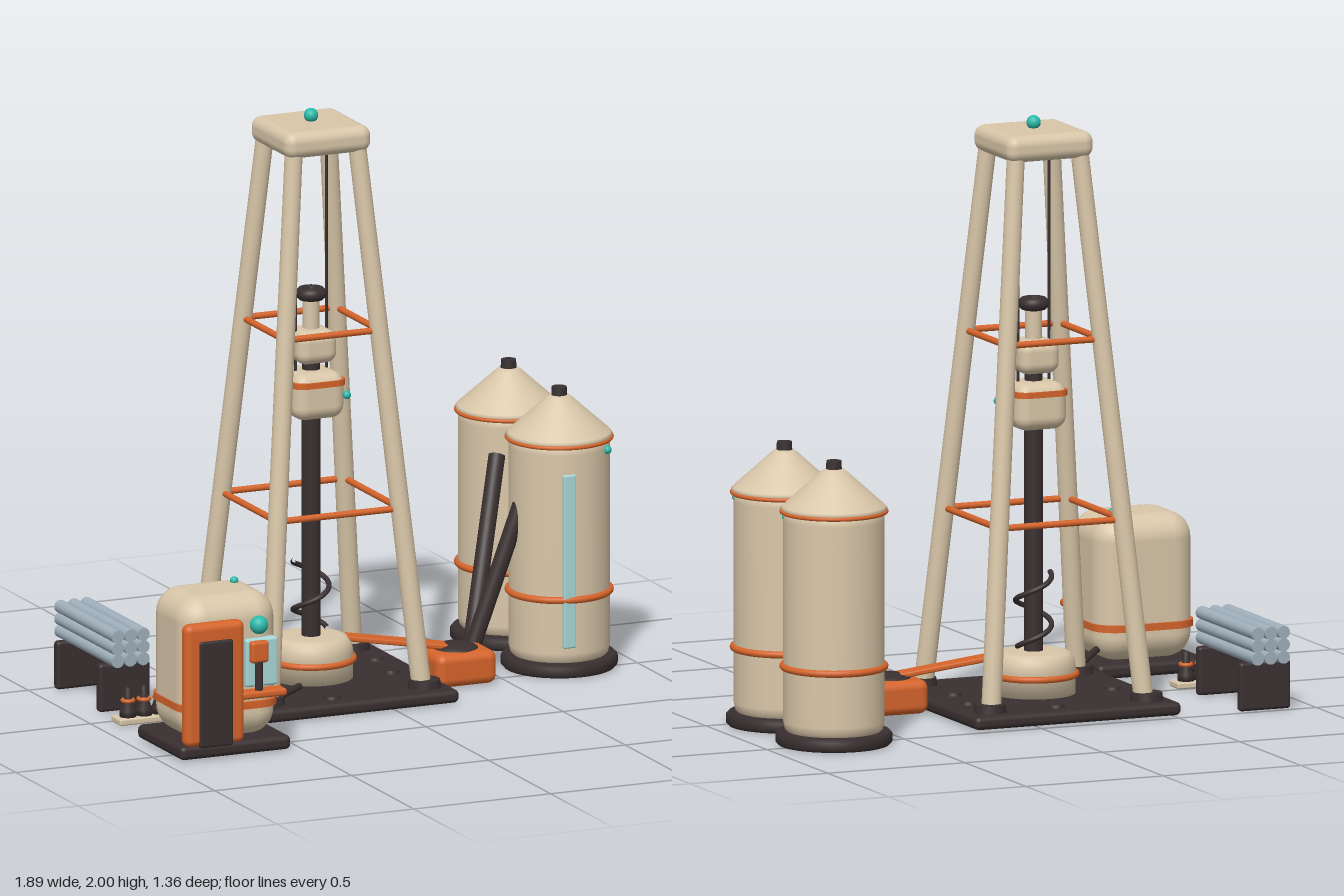
import * as THREE from 'three';
import { RoundedBoxGeometry } from 'three/addons/geometries/RoundedBoxGeometry.js';

const mat = (name, color) => Object.assign(new THREE.MeshStandardMaterial({ color }), { name });
const V = (x, y, z) => new THREE.Vector3(x, y, z);

export function createModel() {
  const cream = mat('cream', 0xd8c6a8);
  const orange = mat('orange', 0xd5642b);
  const dark = mat('dark', 0x392f30);
  const teal = mat('teal', 0x2bbaab);
  const glass = mat('glass', 0xa8d6d6);
  const steel = mat('steel', 0x9fafbb);

  const root = new THREE.Group();
  root.name = 'drillingRig';
  let parent = root;
  const group = (name, x = 0, z = 0) => {
    parent = new THREE.Group();
    parent.name = name;
    parent.position.set(x, 0, z);
    root.add(parent);
  };
  const add = (name, geo, m, x = 0, y = 0, z = 0) => {
    const mesh = new THREE.Mesh(geo, m);
    mesh.name = name;
    mesh.position.set(x, y, z);
    parent.add(mesh);
    return mesh;
  };
  const box = (name, m, w, h, d, x, y, z, r = 0.01) =>
    add(name, new RoundedBoxGeometry(w, h, d, 4, r), m, x, y, z);
  const ball = (name, m, r, x, y, z) => add(name, new THREE.SphereGeometry(r, 24, 16), m, x, y, z);
  const cyl = (name, m, r, h, x, y, z, r2 = r) =>
    add(name, new THREE.CylinderGeometry(r2, r, h, 32), m, x, y, z);
  const ring = (name, m, r, tube, x, y, z) => {
    const mesh = add(name, new THREE.TorusGeometry(r, tube, 12, 48), m, x, y, z);
    mesh.rotation.x = Math.PI / 2;
    return mesh;
  };
  // Straight round bar between two points
  const bar = (name, m, a, b, r, r2 = r) => {
    const dir = b.clone().sub(a);
    const mesh = cyl(name, m, r, dir.length(), 0, 0, 0, r2);
    mesh.position.copy(a).add(b).multiplyScalar(0.5);
    mesh.quaternion.setFromUnitVectors(V(0, 1, 0), dir.normalize());
    return mesh;
  };
  const tube = (name, m, pts, r, n = 64) =>
    add(name, new THREE.TubeGeometry(new THREE.CatmullRomCurve3(pts), n, r, 10), m);
  // Horizontal band with rounded corners
  const band = (name, m, w, d, h, r, x, y, z) => {
    const s = new THREE.Shape();
    const a = w / 2 - r, b = d / 2 - r;
    s.absarc(a, b, r, 0, Math.PI / 2);
    s.absarc(-a, b, r, Math.PI / 2, Math.PI);
    s.absarc(-a, -b, r, Math.PI, Math.PI * 1.5);
    s.absarc(a, -b, r, Math.PI * 1.5, Math.PI * 2);
    const geo = new THREE.ExtrudeGeometry(s, { depth: h, bevelEnabled: false, curveSegments: 8 });
    geo.rotateX(-Math.PI / 2).translate(0, -h / 2, 0);
    return add(name, geo, m, x, y, z);
  };

  // Derrick tower
  group('derrick', -0.145, -0.107);
  box('platform', dark, 0.75, 0.045, 0.75, 0, 0.0275, 0, 0.018);
  const corners = [[1, 1], [-1, 1], [-1, -1], [1, -1]];
  const spread = y => 0.282 - 0.088 * y;
  for (const [sx, sz] of corners) {
    const at = y => V(sx * spread(y), y, sz * spread(y));
    bar('leg', cream, at(0.05), at(1.89), 0.033, 0.03);
    cyl('foot', dark, 0.056, 0.03, sx * 0.285, 0.062, sz * 0.285, 0.052);
  }
  for (const y of [0.655, 1.26]) {
    corners.forEach(([ax, az], i) => {
      const [bx, bz] = corners[(i + 1) % 4], s = spread(y);
      bar('brace', orange, V(ax * s, y, az * s), V(bx * s, y, bz * s), 0.011);
    });
  }
  box('crownBlock', cream, 0.315, 0.09, 0.315, 0, 1.913, 0, 0.036);
  ball('crownBeacon', teal, 0.024, 0, 1.976, 0);
  for (const [x, z] of [[0.045, -0.288], [-0.265, -0.05], [0.265, 0.06], [-0.06, 0.3], [0.29, -0.12]])
    cyl('platformBolt', dark, 0.03, 0.012, x, 0.054, z, 0.026);

  // Hoist and drill string
  for (const s of [-1, 1]) bar('cable', dark, V(s * 0.056, 1.1, 0), V(s * 0.056, 1.88, 0), 0.005);
  ring('swivel', dark, 0.029, 0.023, 0, 1.365, 0);
  cyl('hoistNeck', cream, 0.028, 0.13, 0, 1.29, 0);
  box('travellingBlock', cream, 0.145, 0.115, 0.145, 0, 1.19, 0, 0.038);
  cyl('coupling', dark, 0.03, 0.06, 0, 1.115, 0);
  box('topDrive', cream, 0.185, 0.16, 0.185, 0, 1.026, 0, 0.045);
  band('topDriveBand', orange, 0.19, 0.19, 0.02, 0.04, 0, 1.07, 0);
  ball('topDriveLamp', teal, 0.014, 0.09, 1.027, 0.09);
  cyl('drillPipe', dark, 0.032, 0.8, 0, 0.56, 0);
  const coil = [];
  for (let i = 0; i <= 30; i++) {
    const a = (i / 30) * Math.PI * 3;
    coil.push(V(0.06 * Math.cos(a), 0.21 + 0.245 * (i / 30), -0.06 * Math.sin(a)));
  }
  tube('spiralHose', dark, coil, 0.009, 90);
  add('wellhead', new THREE.LatheGeometry([
    [0, 0.045], [0.14, 0.045], [0.141, 0.14], [0.135, 0.17], [0.12, 0.188], [0.1, 0.193], [0, 0.193],
  ].map(p => new THREE.Vector2(...p)), 40), cream);
  ring('wellheadRing', orange, 0.142, 0.011, 0, 0.115, 0);

  // Mud chute, hopper and feed pipes
  group('mudSystem');
  const a = V(-0.03, 0.18, -0.08), b = V(0.31, 0.128, -0.022);
  const chute = box('chute', orange, 0.068, 0.018, a.distanceTo(b), 0, 0, 0, 0.006);
  chute.position.copy(a).add(b).multiplyScalar(0.5);
  chute.lookAt(b);
  box('hopper', orange, 0.22, 0.115, 0.2, 0.345, 0.063, -0.018, 0.03);
  ball('hopperMud', dark, 0.08, 0.342, 0.11, -0.015).scale.y = 0.38;
  bar('feedPipe', dark, V(0.42, 0.08, -0.07), V(0.645, 0.67, -0.35), 0.028);
  bar('feedPipe', dark, V(0.42, 0.08, -0.07), V(0.63, 0.63, -0.075), 0.028);

  // Storage tanks
  const tankProfile = [[0, 0.04], [0.15, 0.04], [0.164, 0.055], [0.169, 0.08], [0.169, 0.76], [0.165, 0.785], [0.15, 0.795], [0, 0.795]];
  const roofProfile = [[0, 0.788], [0.172, 0.788], [0.178, 0.798], [0.172, 0.806], [0.045, 0.92], [0.032, 0.93], [0, 0.93]];
  for (const z of [-0.487, -0.08]) {
    group('tank', 0.75, z);
    add('tankBase', new THREE.LatheGeometry([[0, 0.002], [0.186, 0.002], [0.195, 0.012], [0.195, 0.036], [0.186, 0.047], [0, 0.047]]
      .map(p => new THREE.Vector2(...p)), 48), dark);
    add('tankBody', new THREE.LatheGeometry(tankProfile.map(p => new THREE.Vector2(...p)), 48), cream);
    add('tankRoof', new THREE.LatheGeometry(roofProfile.map(p => new THREE.Vector2(...p)), 48), cream);
    cyl('tankVent', dark, 0.027, 0.04, 0, 0.938, 0, 0.025);
    ring('tankRing', orange, 0.17, 0.012, 0, 0.265, 0);
    ring('roofRing', orange, 0.175, 0.007, 0, 0.788, 0);
    box('levelGauge', glass, 0.046, 0.595, 0.02, -0.037, 0.398, 0.162, 0.006);
    ball('tankLamp', teal, 0.014, 0.118, 0.757, 0.128);
  }

  // Control cabin
  group('controlCabin');
  box('cabinBase', dark, 0.405, 0.048, 0.36, -0.743, 0.029, 0.43, 0.018);
  box('cabinBody', cream, 0.352, 0.49, 0.3, -0.741, 0.295, 0.43, 0.085);
  band('cabinBand', orange, 0.362, 0.325, 0.024, 0.085, -0.741, 0.167, 0.432);
  box('cabinPanel', orange, 0.218, 0.42, 0.055, -0.828, 0.262, 0.605, 0.024);
  box('cabinDoor', dark, 0.122, 0.365, 0.02, -0.828, 0.232, 0.63, 0.009);
  box('cabinWindow', glass, 0.118, 0.165, 0.04, -0.643, 0.312, 0.578, 0.01);
  box('controlBox', orange, 0.066, 0.075, 0.03, -0.659, 0.352, 0.605, 0.012);
  cyl('controlStem', dark, 0.014, 0.1, -0.659, 0.27, 0.605);
  box('controlShelf', orange, 0.165, 0.026, 0.06, -0.645, 0.208, 0.595, 0.01);
  ball('cabinBeacon', teal, 0.031, -0.677, 0.455, 0.645);
  ball('roofLamp', teal, 0.014, -0.65, 0.545, 0.386);
  tube('cabinHose', dark, [V(-0.62, 0.1, 0.39), V(-0.54, 0.085, 0.31), V(-0.42, 0.06, 0.18), V(-0.25, 0.058, 0.03)], 0.012);

  // Pipe rack
  group('pipeRack', -0.822, 0);
  for (const z of [-0.47, -0.13]) box('rackSupport', dark, 0.186, 0.165, 0.034, 0, 0.085, z, 0.012);
  for (let row = 0; row < 3; row++)
    for (const x of [-0.047, 0, 0.047]) {
      const y = 0.185 + row * 0.042;
      bar('storedPipe', steel, V(x, y, -0.53), V(x, y, -0.066), 0.022);
    }

  // Spare drill bits on a tray
  group('bitTray', -0.822, 0.038);
  box('tray', cream, 0.206, 0.022, 0.075, 0, 0.012, 0, 0.006);
  for (const x of [-0.058, 0, 0.058]) {
    add('drillBit', new THREE.LatheGeometry([
      [0, 0.02], [0.028, 0.02], [0.028, 0.045], [0.014, 0.08], [0.012, 0.12], [0, 0.125],
    ].map(p => new THREE.Vector2(...p)), 24), dark, x);
    ring('bitRing', orange, 0.018, 0.007, x, 0.078, 0);
  }
  return root;
}
